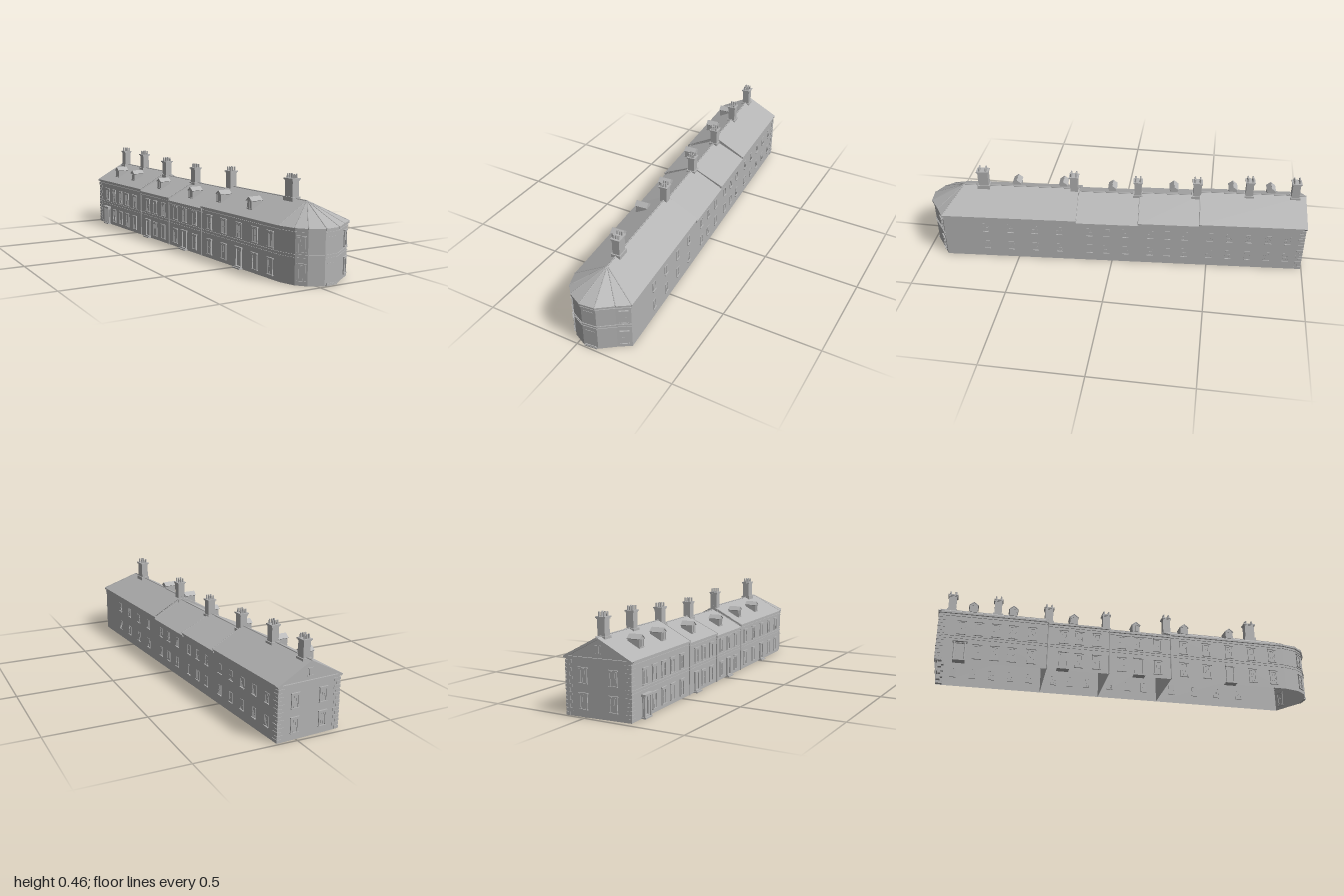
import * as THREE from 'three';

const W = 0.163, E = 0.171; // half widths at the wall and at the eaves

// terrace houses from front to back: ends along the row, eaves, ridge, bays
const HOUSES = [
  { v0: 0.2, v1: 0.812, ey: 0.255, ry: 0.348, left: [0.27, 0.395, 0.52, 0.645, 0.76], right: [0.29, 0.42, 0.55, 0.68] },
  { v0: -0.125, v1: 0.2, ey: 0.243, ry: 0.33, left: [-0.06, 0.03, 0.13], right: [-0.06, 0.04, 0.13] },
  { v0: -0.44, v1: -0.125, ey: 0.256, ry: 0.336, left: [-0.36, -0.28, -0.19], right: [-0.37, -0.28, -0.19] },
  { v0: -0.982, v1: -0.44, ey: 0.266, ry: 0.357, left: [-0.87, -0.785, -0.7, -0.615, -0.52], right: [-0.9, -0.8, -0.7, -0.6, -0.5] },
];
const DOORS = [0.52, 0.03, -0.36, -0.87];
// eaves corners of the faceted front end, right to left
const BAY = [[E, 0.907], [0.108, 0.943], [0.03, 0.994], [-0.046, 0.997], [-0.1135, 0.957], [-0.15, 0.909], [-E, 0.825]];

export function createModel() {
  const stone = new THREE.MeshStandardMaterial({ color: 0xb4b4b4, side: THREE.DoubleSide });
  stone.name = 'grey stone';
  const model = new THREE.Group();
  model.name = 'terrace';
  const row = new THREE.Group();
  row.name = 'houseRow';
  row.position.x = 0.0055;
  row.rotation.y = 0.0709;
  model.add(row);

  const add = (parent, name, geo, x = 0, y = 0, z = 0) => {
    const m = new THREE.Mesh(geo, stone);
    m.name = name;
    m.position.set(x, y, z);
    parent.add(m);
    return m;
  };
  const box = (parent, name, w, h, d, x, y, z) => add(parent, name, new THREE.BoxGeometry(w, h, d), x, y, z);
  // flat faces, each a convex loop of corners
  const faces = (name, loops) => {
    const p = [];
    for (const l of loops)
      for (let i = 1; i < l.length - 1; i++) p.push(...l[0], ...l[i], ...l[i + 1]);
    const g = new THREE.BufferGeometry();
    g.setAttribute('position', new THREE.Float32BufferAttribute(p, 3));
    g.computeVertexNormals();
    return add(row, name, g);
  };
  // group on a wall whose local +z faces outwards
  const onWall = (name, u, v, angle) => {
    const g = new THREE.Group();
    g.name = name;
    g.position.set(u, 0, v);
    g.rotation.y = angle;
    row.add(g);
    return g;
  };
  // moulding that follows a wall edge
  const moulding = (name, a, b, y, h, out) => {
    const du = b[0] - a[0], dv = b[1] - a[1];
    const m = box(row, name, Math.hypot(du, dv) + out * 0.8, h, out * 2, (a[0] + b[0]) / 2, y, (a[1] + b[1]) / 2);
    m.rotation.y = Math.atan2(-dv, du);
  };
  // round bar between two points
  const bar = (name, a, b, r) => {
    const A = new THREE.Vector3(...a), B = new THREE.Vector3(...b);
    const m = add(row, name, new THREE.CylinderGeometry(r, r, A.distanceTo(B), 6));
    m.position.copy(A).lerp(B, 0.5);
    m.quaternion.setFromUnitVectors(new THREE.Vector3(0, 1, 0), B.sub(A).normalize());
  };

  // sash window: pane, bars, surround, sill and hood
  const sash = (g, y0, y1, w, grand) => {
    const h = y1 - y0, y = (y0 + y1) / 2, t = grand ? 0.006 : 0.003;
    box(g, 'pane', w, h, 0.002, 0, y, 0);
    for (const s of [-1, 1]) box(g, 'jamb', t, h, t * 1.6, s * w / 2, y, 0);
    box(g, 'lintel', w + t, t, t * 1.6, 0, y1, 0);
    box(g, 'sill', w + t * 2, 0.004, 0.014, 0, y0, 0);
    box(g, 'meetingRail', w, 0.002, 0.004, 0, y, 0);
    for (const s of [-1, 1]) box(g, 'glazingBar', 0.0015, h, 0.004, s * w / 6, y, 0);
    if (grand) box(g, 'hood', w + 0.014, 0.005, 0.016, 0, y1 + 0.007, 0);
  };
  // doorway with steps; one has a columned porch
  const door = (g, porch) => {
    box(g, 'doorLeaf', 0.03, 0.08, 0.003, 0, 0.046, 0);
    for (const s of [-1, 1]) box(g, 'doorJamb', 0.007, 0.095, 0.014, s * 0.02, 0.0475, 0);
    box(g, 'doorHead', 0.054, 0.009, 0.018, 0, 0.1, 0);
    box(g, 'step', 0.06, 0.006, 0.04, 0, 0.003, 0);
    box(g, 'step', 0.05, 0.012, 0.025, 0, 0.006, 0);
    if (!porch) return;
    for (const s of [-1, 1]) {
      add(g, 'porchColumn', new THREE.CylinderGeometry(0.0035, 0.004, 0.094, 10), s * 0.026, 0.049, 0.014);
      box(g, 'columnCapital', 0.01, 0.005, 0.01, s * 0.026, 0.095, 0.014);
    }
    box(g, 'porchRoof', 0.07, 0.01, 0.03, 0, 0.104, 0.008);
  };

  const wallBay = BAY.map(([u, v]) => {
    const k = 1 - 0.008 / 0.171;
    return [u * k, 0.812 + (v - 0.812) * k];
  });

  HOUSES.forEach((h, i) => {
    const { v0, v1, ey, ry } = h, first = i === 0;
    const rightEnd = first ? wallBay[0][1] : v1, leftEnd = first ? wallBay[6][1] : v1;
    const path = [[W, v0], [W, rightEnd]];
    if (first) path.push(...wallBay.slice(1));
    else path.push([-W, v1]);
    path.push([-W, v0]);

    // outer walls, skipping the shared end, and gabled end walls
    const walls = [];
    for (let j = 0; j < path.length - 1; j++) {
      if (!first && j === 1) continue;
      const [a, b] = [path[j], path[j + 1]];
      walls.push([[a[0], 0, a[1]], [b[0], 0, b[1]], [b[0], ey, b[1]], [a[0], ey, a[1]]]);
      const outs = j === 0 ? 0.006 : 0.008;
      moulding('cornice', a, b, ey - 0.005, 0.01, outs);
      if (j > 0) {
        moulding('frieze', a, b, ey - 0.02, 0.006, 0.004);
        moulding('stringCourse', a, b, 0.123, 0.003, 0.003);
        moulding('stringCourse', a, b, 0.137, 0.003, 0.004);
      }
    }
    faces('outerWalls', walls);
    const gable = v => [[-W, 0, v], [W, 0, v], [W, ey, v], [0, ry - 0.002, v], [-W, ey, v]];
    faces('endWalls', first ? [gable(v0)] : [gable(v0), gable(v1)]);

    // pitched roof
    const back = i === 3 ? v0 - 0.008 : v0;
    const re = first ? BAY[0][1] : v1, le = first ? BAY[6][1] : v1;
    faces('roof', [
      [[0, ry, back], [0, ry, v1], [E, ey, re], [E, ey, back]],
      [[0, ry, v1], [0, ry, back], [-E, ey, back], [-E, ey, le]],
    ]);
    bar('ridgeRoll', [0, ry, back], [0, ry, v1], 0.003);
    for (const s of [-1, 1]) if (i) bar('vergeRoll', [s * E, ey, v1], [0, ry, v1], 0.0025);

    // left and right windows, doors and downpipes
    for (const v of h.left) {
      const g = onWall('leftBay', -W, v, -Math.PI / 2);
      sash(g, 0.147, 0.212, 0.034, true);
      if (DOORS.includes(v)) door(g, v === -0.87);
      else sash(g, 0.02, 0.09, 0.034, true);
    }
    for (const v of h.right) {
      const g = onWall('rightBay', W, v, Math.PI / 2);
      sash(g, 0.16, 0.208, 0.027, false);
      sash(g, 0.05, 0.1, 0.027, false);
    }
    if (i) bar('downpipe', [-W - 0.004, 0, v1], [-W - 0.004, ey - 0.01, v1], 0.003);
  });

  // faceted hipped roof over the rounded front end
  const apex = [0, 0.348, 0.812];
  const eave = BAY.map(([u, v]) => [u, 0.255, v]);
  faces('frontRoof', eave.slice(1).map((e, i) => [apex, e, eave[i]]));
  for (const e of eave) bar('hipRoll', apex, e, 0.0025);

  // windows on the front facets and blind openings in the middle
  [0, 2, 4].forEach(i => {
    const [a, b] = [wallBay[i], wallBay[i + 1]];
    const g = onWall('frontBay', (a[0] + b[0]) / 2, (a[1] + b[1]) / 2, Math.atan2(a[1] - b[1], a[0] - b[0]) * -1);
    if (i === 2) {
      box(g, 'frontStep', 0.064, 0.006, 0.012, 0, 0.003, 0);
      box(g, 'frontStep', 0.054, 0.011, 0.008, 0, 0.0055, 0);
      for (const y of [0.099, 0.215]) box(g, 'blindHead', 0.048, 0.003, 0.004, 0, y, 0);
    } else {
      sash(g, 0.147, 0.212, 0.03, true);
      sash(g, 0.02, 0.09, 0.03, true);
    }
  });

  // back gable: windows, vent, pediment and quoins
  const { ey, ry, v0 } = HOUSES[3];
  for (const u of [-0.075, 0.075]) {
    const g = onWall('backBay', u, v0, Math.PI);
    sash(g, 0.15, 0.212, 0.034, true);
    sash(g, 0.035, 0.1, 0.034, true);
  }
  const vent = onWall('gableVent', 0, v0, Math.PI);
  box(vent, 'ventSlot', 0.012, 0.032, 0.008, 0, 0.303, 0);
  for (const y of [0.286, 0.32]) box(vent, 'ventBand', 0.03, 0.004, 0.01, 0, y, 0);
  moulding('pedimentCornice', [-W, v0], [W, v0], ey - 0.005, 0.01, 0.008);
  for (const s of [-1, 1]) {
    const rake = box(row, 'rakingCornice', Math.hypot(E, ry - ey), 0.01, 0.016, s * E / 2, (ey + ry) / 2 - 0.006, v0);
    rake.rotation.z = -s * Math.atan2(ry - ey, E);
    for (let k = 0; k < 14; k++) {
      const long = k % 2;
      box(row, 'quoin', long ? 0.034 : 0.022, 0.014, long ? 0.022 : 0.034, s * (W + 0.003 - (long ? 0.017 : 0.011)), 0.01 + k * 0.0178, v0 - 0.003 + (long ? 0.011 : 0.017));
    }
  }

  // chimney stacks: place, base height, top of stack, length along the row
  const stacks = [[0.705, 0.335, 0.44, 0.062], [0.222, 0.315, 0.427, 0.048], [-0.115, 0.31, 0.411, 0.046],
    [-0.425, 0.32, 0.42, 0.05], [-0.695, 0.335, 0.438, 0.046], [-0.932, 0.335, 0.44, 0.048]];
  for (const [v, y0, y1, d] of stacks) {
    const g = onWall('chimney', 0, v, 0);
    box(g, 'stack', 0.037, y1 - y0, d - 0.008, 0, (y0 + y1) / 2, 0);
    box(g, 'stackBase', 0.048, 0.04, d + 0.004, 0, y0, 0);
    box(g, 'stackCap', 0.048, 0.006, d + 0.003, 0, y1 - 0.003, 0);
    box(g, 'stackNeck', 0.042, 0.005, d - 0.003, 0, y1 - 0.009, 0);
    for (const x of [-0.012, 0, 0.012])
      for (const s of [-1, 1])
        add(g, 'chimneyPot', new THREE.CylinderGeometry(0.0042, 0.005, 0.02, 8), x, y1 + 0.01, s * d * 0.28);
  }

  // gabled dormers on the left slope
  const profile = new THREE.Shape([[-0.02, 0], [0.02, 0], [0.02, 0.045], [0, 0.061], [-0.02, 0.045]].map(p => new THREE.Vector2(...p)));
  const dormers = [[-0.82, 3], [-0.618, 3], [-0.305, 2], [0.025, 1], [0.29, 0], [0.543, 0]];
  for (const [v, i] of dormers) {
    const h = HOUSES[i];
    const g = onWall('dormer', -0.122, v, -Math.PI / 2);
    g.position.y = h.ey + (h.ry - h.ey) * (1 - 0.122 / E) - 0.003;
    add(g, 'dormerBody', new THREE.ExtrudeGeometry(profile, { depth: 0.06, bevelEnabled: false }), 0, 0, -0.06);
    for (const s of [-1, 1]) {
      const r = box(g, 'dormerRoof', 0.03, 0.003, 0.066, s * 0.0115, 0.0535, -0.029);
      r.rotation.z = -s * Math.atan2(0.016, 0.02);
    }
    box(g, 'dormerSill', 0.036, 0.004, 0.008, 0, 0.008, 0);
    for (const x of [-0.014, 0, 0.014]) box(g, 'dormerBar', 0.003, 0.036, 0.004, x, 0.025, 0);
    box(g, 'dormerHead', 0.032, 0.003, 0.004, 0, 0.044, 0);
  }
  return model;
}
